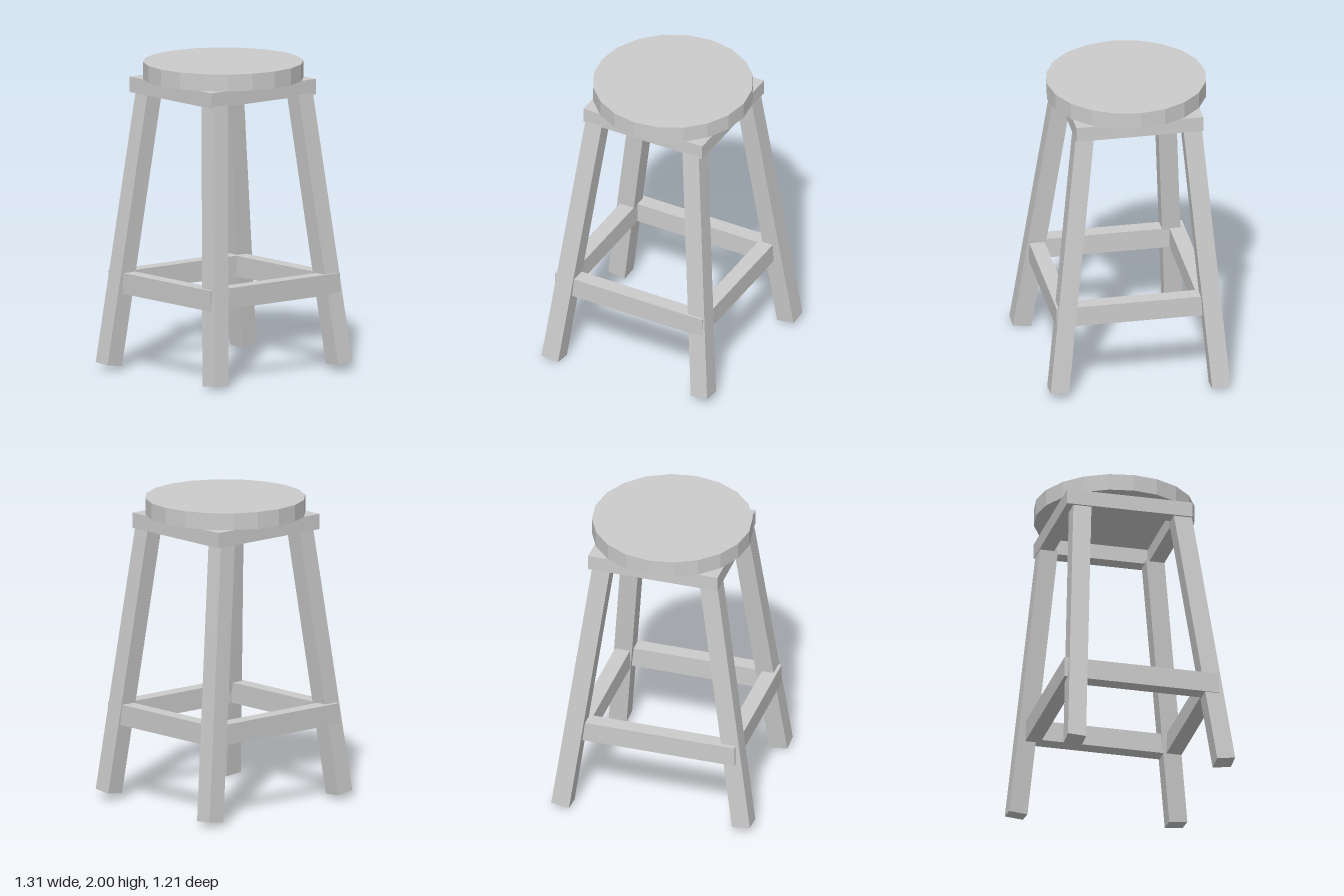
import * as THREE from 'three';

const material = new THREE.MeshStandardMaterial({ color: 0xcccccc, flatShading: true });

function addMesh(group, name, geometry, x = 0, y = 0, z = 0) {
  const mesh = new THREE.Mesh(geometry, material);
  mesh.name = name;
  mesh.position.set(x, y, z);
  group.add(mesh);
  return mesh;
}

// Rectangular outline centred on the origin
function rectangle(PathType, w, d) {
  const path = new PathType();
  path.moveTo(-w / 2, -d / 2);
  path.lineTo(w / 2, -d / 2);
  path.lineTo(w / 2, d / 2);
  path.lineTo(-w / 2, d / 2);
  path.closePath();
  return path;
}

// Open rectangular frame lying flat, made of four joined rails
function frameGeometry(w, d, height, thickness) {
  const shape = rectangle(THREE.Shape, w, d);
  shape.holes.push(rectangle(THREE.Path, w - 2 * thickness, d - 2 * thickness));
  return new THREE.ExtrudeGeometry(shape, { depth: height, bevelEnabled: false }).rotateX(-Math.PI / 2);
}

// Square post leaning from a top centre to a bottom centre, its foot cut square to the lean
function legGeometry([tx, tz], [bx, by, bz], size = 0.12) {
  const topY = 1.8;
  const geometry = new THREE.BoxGeometry(size, 1, size);
  const p = geometry.attributes.position;
  const sx = (bx - tx) / (topY - by);
  const sz = (bz - tz) / (topY - by);
  for (let i = 0; i < p.count; i++) {
    const dx = p.getX(i), dz = p.getZ(i);
    if (p.getY(i) > 0) p.setXYZ(i, tx + dx, topY, tz + dz);
    else p.setXYZ(i, bx + dx, by + dx * sx + dz * sz, bz + dz);
  }
  geometry.computeVertexNormals();
  return geometry;
}

export function createModel() {
  const stool = new THREE.Group();
  stool.name = 'stool';

  // Round seat
  addMesh(stool, 'seat', new THREE.CylinderGeometry(0.517, 0.517, 0.11, 20), 0.009, 1.945, -0.043);

  // Square frame under the seat and footrest frame between the legs
  addMesh(stool, 'apron', frameGeometry(0.87, 0.83, 0.1, 0.1), 0.01, 1.79, -0.05);
  addMesh(stool, 'footrest', frameGeometry(1.08, 1.025, 0.135, 0.1), -0.015, 0.5, -0.003);

  // Four legs, each with its own slightly uneven splay
  const legs = [
    ['frontRightLeg', [-0.35, 0.305], [-0.54, 0.015, 0.545]],
    ['frontLeftLeg', [0.36, 0.305], [0.527, 0.05, 0.5]],
    ['backLeftLeg', [0.36, -0.4], [0.59, 0.025, -0.545]],
    ['backRightLeg', [-0.35, -0.36], [-0.6, 0.035, -0.46]],
  ];
  for (const [name, top, bottom] of legs) addMesh(stool, name, legGeometry(top, bottom));

  return stool;
}
